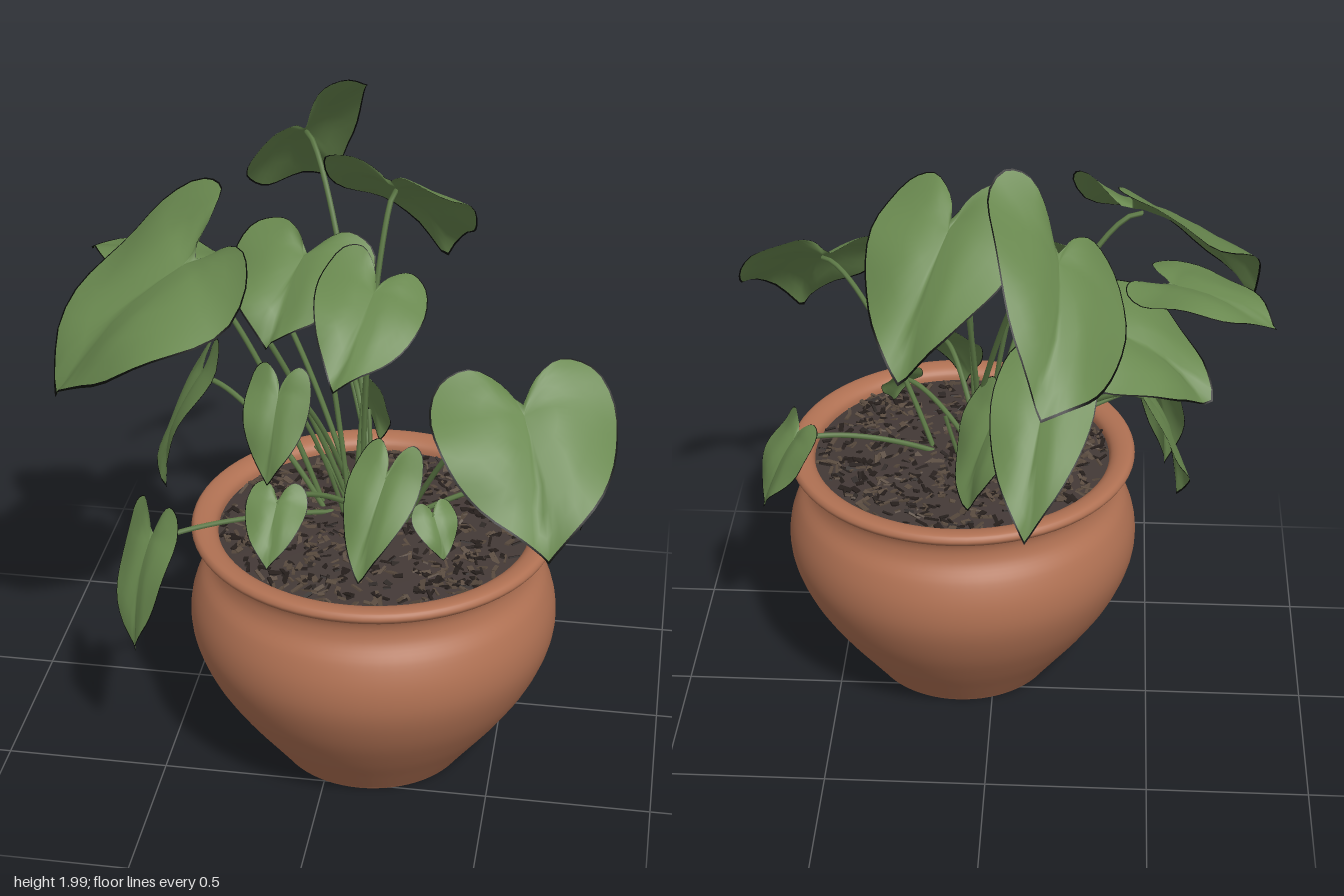
import * as THREE from 'three';
import { mergeGeometries } from 'three/addons/utils/BufferGeometryUtils.js';

const V = (a) => new THREE.Vector3(a[0], a[1], a[2]);
const CX = 0.11, CZ = 0.22; // pot centre

function makeRandom(seed) {
  return () => {
    seed = (seed * 16807) % 2147483647;
    return seed / 2147483647;
  };
}

// Half outline of a heart-shaped leaf: u runs base to tip, v across
const half = new THREE.CatmullRomCurve3([
  [0, 0], [-0.16, 0.09], [-0.27, 0.25], [-0.2, 0.41], [0.06, 0.5],
  [0.36, 0.46], [0.64, 0.32], [0.87, 0.12], [1, 0],
].map(([u, v]) => new THREE.Vector3(u, v, 0)));
const side = half.getPoints(24);
const outline = [...side, ...side.slice(1, -1).reverse().map((p) => new THREE.Vector3(p.x, -p.y, 0))];
const rings = [0, 0.15, 0.32, 0.5, 0.68, 0.84, 0.98, 1]; // the last band is the dark margin

// Leaf surface: rings spread from the stalk joint out to the heart outline.
// The blade is level across its width unless tilt raises one side.
function leafGeometry(base, tip, width, tilt, phase) {
  const D = tip.clone().sub(base);
  const W = new THREE.Vector3(D.z, 0, -D.x).setLength(width).setY(tilt);
  const N = new THREE.Vector3().crossVectors(D, W).normalize();
  const L = D.length(), n = outline.length;
  const pos = [], idx = [];
  for (const f of rings) {
    for (const o of outline) {
      const u = 0.07 + (o.x - 0.07) * f, v = o.y * f;
      const arch = L * 0.3 * Math.max(u, 0.3 * u) * (1 - u);
      const fold = width * (0.05 * Math.min(Math.abs(v) * 6, 1) - 0.3 * v * v);
      const wave = width * 0.035 * f * f * Math.sin(phase + u * 8 + Math.sign(v) * 1.3);
      const p = base.clone().addScaledVector(D, u).addScaledVector(W, v).addScaledVector(N, arch + fold + wave);
      pos.push(p.x, p.y, p.z);
    }
  }
  for (let k = 0; k < rings.length - 1; k++) {
    for (let i = 0; i < n; i++) {
      const a = k * n + i, b = k * n + (i + 1) % n;
      idx.push(a, b + n, a + n, a, b, b + n);
    }
  }
  const g = new THREE.BufferGeometry();
  g.setAttribute('position', new THREE.Float32BufferAttribute(pos, 3));
  g.setIndex(idx);
  g.computeVertexNormals();
  const band = n * 6;
  g.addGroup(0, idx.length - band, 0);
  g.addGroup(idx.length - band, band, 1);
  return g;
}

// Each leaf: stalk joint, tip, width and optional tilt
const leaves = [
  { name: 'topBackLeaf', b: [-0.2, 1.79, -0.39], t: [-0.16, 1.47, -0.77], w: 0.38, tilt: -0.36 },
  { name: 'highBackLeaf', b: [0.11, 1.74, -0.1], t: [0.25, 1.38, -0.43], w: 0.46 },
  { name: 'bigRightLeaf', b: [-0.41, 1.63, 0.25], t: [-0.81, 1.25, 0.43], w: 0.6, tilt: -0.16 },
  { name: 'backRightLeaf', b: [-0.33, 1.44, -0.16], t: [-0.65, 1.24, -0.24], w: 0.46, tilt: 0.09 },
  { name: 'farRightLeaf', b: [-0.52, 1.5, 0], t: [-0.83, 1.44, -0.17], w: 0.3 },
  { name: 'lowBackLeaf', b: [-0.17, 1.34, -0.34], t: [-0.12, 1, -0.65], w: 0.3 },
  { name: 'innerLeaf', b: [-0.12, 1.58, 0.05], t: [-0.2, 1.38, 0.3], w: 0.45 },
  { name: 'centreLeaf', b: [0.11, 1.55, 0.2], t: [0.03, 1.35, 0.5], w: 0.32, tilt: -0.1 },
  { name: 'bigFrontLeftLeaf', b: [0.56, 1.34, 0.46], t: [0.67, 1, 0.74], w: 0.54 },
  { name: 'hangingRightLeaf', b: [-0.45, 1.14, 0], t: [-0.58, 0.74, 0.05], w: 0.28, tilt: 0.1 },
  { name: 'droopingRightLeaf', b: [-0.5, 0.87, 0.54], t: [-0.55, 0.5, 0.61], w: 0.2 },
  { name: 'droopingLeftLeaf', b: [0.62, 0.9, 0.07], t: [0.72, 0.67, 0.01], w: 0.23 },
  { name: 'frontLeaf', b: [0.18, 1.07, 0.42], t: [0.12, 0.8, 0.61], w: 0.22 },
  { name: 'smallFrontLeaf', b: [-0.13, 1, 0.51], t: [-0.14, 0.85, 0.65], w: 0.18 },
  { name: 'tinyFrontLeaf', b: [0.31, 0.93, 0.4], t: [0.35, 0.81, 0.46], w: 0.14 },
  { name: 'middleFrontLeaf', b: [-0.14, 1.3, 0.4], t: [-0.16, 1.04, 0.5], w: 0.2 },
  { name: 'lowInnerLeaf', b: [-0.02, 1.12, -0.12], t: [0.07, 0.82, -0.21], w: 0.24 },
];

export function createModel() {
  const model = new THREE.Group();
  const mat = (name, color, faces = THREE.FrontSide) => {
    const m = new THREE.MeshStandardMaterial({ color, side: faces });
    m.name = name;
    return m;
  };
  const terracotta = mat('terracotta', 0xb07153, THREE.DoubleSide);
  const leafGreen = mat('leaf green', 0x69884f, THREE.DoubleSide);
  const leafMargin = mat('leaf margin black', 0x080a06, THREE.DoubleSide);
  const stemGreen = mat('stem green', 0x5c7845);
  const soilBrown = mat('soil brown', 0x433936);
  const barkBrown = mat('bark brown', 0x584a3e);
  const darkBark = mat('dark bark', 0x261f1c);
  const add = (name, geometry, material, parent = model) => {
    const m = new THREE.Mesh(geometry, material);
    m.name = name;
    parent.add(m);
    return m;
  };

  // Pot: bulging body, narrow neck, rolled rim, inner wall
  const body = new THREE.CatmullRomCurve3([
    [0.3, 0.004], [0.36, 0.085], [0.44, 0.195], [0.515, 0.32], [0.557, 0.44], [0.557, 0.53],
    [0.53, 0.61], [0.493, 0.665], [0.484, 0.71], [0.497, 0.745], [0.54, 0.765],
    [0.551, 0.782], [0.54, 0.799], [0.5, 0.798], [0.475, 0.78], [0.468, 0.74],
  ].map(([r, y]) => new THREE.Vector3(r, y, 0)));
  const profile = body.getPoints(70).map((p) => new THREE.Vector2(p.x, p.y));
  add('pot', new THREE.LatheGeometry(profile, 72), terracotta).position.set(CX, 0, CZ);
  const foot = [[0, 0], [0.298, 0], [0.3, 0.004]].map(([r, y]) => new THREE.Vector2(r, y));
  add('potBase', new THREE.LatheGeometry(foot, 72), terracotta).position.set(CX, 0, CZ);

  // Soil mound
  const mound = [[0.475, 0.76], [0.35, 0.772], [0.18, 0.785], [0, 0.79]].map(([r, y]) => new THREE.Vector2(r, y));
  add('soil', new THREE.LatheGeometry(mound, 48), soilBrown).position.set(CX, 0, CZ);

  // Bark chips scattered over the soil
  const rnd = makeRandom(4271);
  const chips = [[], []];
  for (let i = 0; i < 800; i++) {
    const r = 0.455 * Math.sqrt(rnd()), a = rnd() * Math.PI * 2;
    const g = new THREE.BoxGeometry(0.02 + rnd() * 0.03, 0.005, 0.006 + rnd() * 0.012);
    g.rotateZ((rnd() - 0.5) * 0.9);
    g.rotateX((rnd() - 0.5) * 0.9);
    g.rotateY(rnd() * Math.PI);
    g.translate(CX + r * Math.cos(a), 0.794 - r * 0.06, CZ + r * Math.sin(a));
    chips[i % 2].push(g);
  }
  add('lightBarkChips', mergeGeometries(chips[0]), barkBrown);
  add('darkBarkChips', mergeGeometries(chips[1]), darkBark);

  // Leaves, each on an arching stalk from the crown
  leaves.forEach(({ name, b, t, w, tilt = 0 }, i) => {
    const plant = new THREE.Group();
    plant.name = name;
    model.add(plant);
    const base = V(b), tip = V(t);
    add('blade', leafGeometry(base, tip, w, tilt, i * 1.7), [leafGreen, leafMargin], plant);

    const end = base.clone().lerp(tip, 0.07);
    const a = i * 2.4;
    const start = new THREE.Vector3(
      0.07 + 0.06 * Math.cos(a) + 0.12 * end.x, 0.76, 0.16 + 0.06 * Math.sin(a) + 0.1 * (end.z - 0.16));
    const c1 = start.clone().lerp(end, 0.3).setY((start.y + end.y) / 2 + 0.02);
    const c2 = start.clone().lerp(end, 0.75).setY(end.y + 0.03);
    const path = new THREE.CubicBezierCurve3(start, c1, c2, end);
    add('stalk', new THREE.TubeGeometry(path, 24, 0.0085, 6), stemGreen, plant);
  });

  // Young shoots around the crown
  const shoots = [];
  for (let i = 0; i < 5; i++) {
    const a = i * 1.26, h = 0.16 + 0.2 * rnd();
    const from = new THREE.Vector3(0.06 + 0.05 * Math.cos(a), 0.76, 0.16 + 0.05 * Math.sin(a));
    const to = from.clone().add(new THREE.Vector3(0.09 * Math.cos(a) - 0.04, h, 0.09 * Math.sin(a)));
    const mid = from.clone().lerp(to, 0.5).add(new THREE.Vector3(0.01, 0.03, 0));
    shoots.push(new THREE.TubeGeometry(new THREE.QuadraticBezierCurve3(from, mid, to), 8, 0.007, 5));
  }
  add('youngShoots', mergeGeometries(shoots), stemGreen);

  return model;
}
